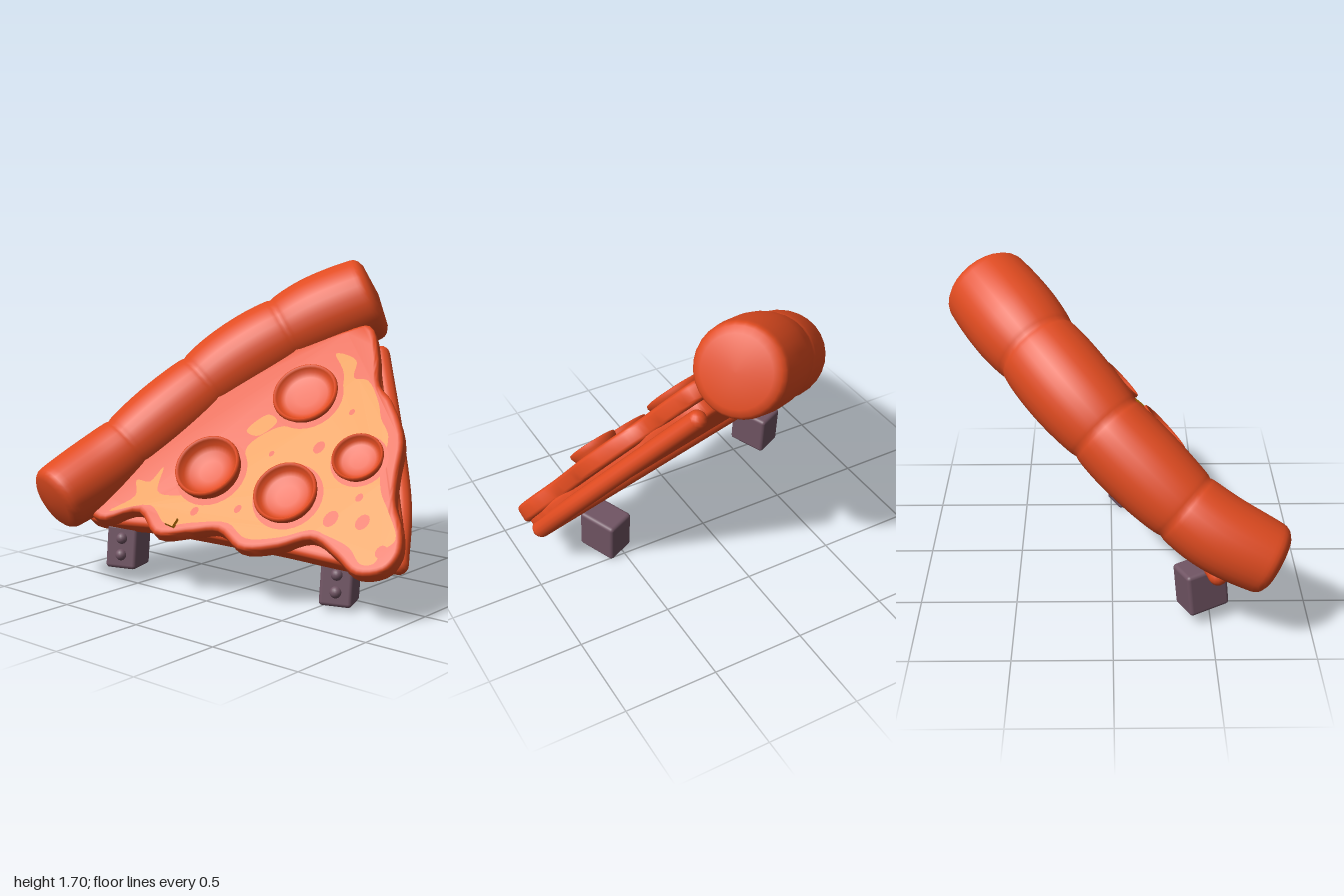
import * as THREE from 'three';
import { mergeVertices, toCreasedNormals } from 'three/addons/utils/BufferGeometryUtils.js';
import { RoundedBoxGeometry } from 'three/addons/geometries/RoundedBoxGeometry.js';

const material = (name, color) => {
  const m = new THREE.MeshStandardMaterial({ color });
  m.name = name;
  return m;
};

// The slice lies in a tilted plane: N is its normal, TOP the distance of its upper face.
const N = new THREE.Vector3(0.198, 0.647, 0.737).normalize();
const TOP = 0.615;
const onPlane = (x, y, d) => new THREE.Vector3(x, y, (d - N.x * x - N.y * y) / N.z);

// Lays a flat geometry drawn in (x, y) onto the tilted plane; its z becomes height along N.
function layOnPlane(geometry, d) {
  const p = geometry.attributes.position;
  for (let i = 0; i < p.count; i++) {
    const v = onPlane(p.getX(i), p.getY(i), d).addScaledVector(N, p.getZ(i));
    p.setXYZ(i, v.x, v.y, v.z);
  }
  geometry.computeVertexNormals();
  return geometry;
}

// Closed soft outline through a few points
function outline(points, divisions) {
  const curve = new THREE.CatmullRomCurve3(
    points.map(([x, y]) => new THREE.Vector3(x, y, 0)), true, 'centripetal');
  return new THREE.Shape(curve.getPoints(divisions).slice(0, -1).map(v => new THREE.Vector2(v.x, v.y)));
}

// Rounded plate reaching down from distance d
function slab(points, d, depth, bevel) {
  const geometry = new THREE.ExtrudeGeometry(outline(points, 110), {
    depth: depth - 2 * bevel, bevelEnabled: true, bevelThickness: bevel,
    bevelSize: bevel, bevelOffset: -bevel, bevelSegments: 4,
  });
  geometry.translate(0, 0, bevel - depth);
  return toCreasedNormals(layOnPlane(geometry, d), 0.8);
}

// Puffy crust: a tube whose rings are scaled into four bulges with rounded ends
function crustGeometry() {
  const curve = new THREE.CatmullRomCurve3([
    [-0.83, 0.44, 0.815], [-0.75, 0.61, 0.47], [-0.58, 0.87, 0.13],
    [-0.39, 1.11, -0.15], [-0.1, 1.34, -0.43], [0.22, 1.515, -0.675],
  ].map(p => new THREE.Vector3(...p)));
  const rings = 120, sides = 28;
  const geometry = new THREE.TubeGeometry(curve, rings, 1, sides, false);
  const p = geometry.attributes.position;
  const v = new THREE.Vector3();
  for (let i = 0; i <= rings; i++) {
    const t = i / rings;
    const centre = curve.getPointAt(t);
    const s = Math.min(1, Math.min(t, 1 - t) / 0.036);
    const cap = Math.pow(1 - Math.pow(1 - s, 2.8), 0.36);
    const bulge = 0.93 + 0.1 * Math.pow(Math.abs(Math.sin(Math.PI * 4 * t)), 0.55);
    const width = THREE.MathUtils.lerp(0.182, 0.235, Math.min(1, t * 1.2));
    for (let j = 0; j <= sides; j++) {
      const k = i * (sides + 1) + j;
      v.fromBufferAttribute(p, k).sub(centre).multiplyScalar(width * bulge * cap).add(centre);
      p.setXYZ(k, v.x, v.y, v.z);
    }
  }
  geometry.deleteAttribute('uv');
  geometry.deleteAttribute('normal');
  const merged = mergeVertices(geometry, 1e-5);
  merged.computeVertexNormals();
  return merged;
}

export function createModel() {
  const red = material('baked red', 0xe04b20);
  const yellow = material('cheese yellow', 0xe28a08);
  const purple = material('dusky purple', 0x705463);
  const model = new THREE.Group();
  model.name = 'pizzaSlice';

  const add = (name, geometry, mat, parent = model) => {
    const mesh = new THREE.Mesh(geometry, mat);
    mesh.name = name;
    parent.add(mesh);
    return mesh;
  };

  add('crust', crustGeometry(), red);

  // Dough base underneath
  add('doughBase', slab([
    [-0.78, 0.39], [-0.74, 0.35], [-0.3, 0.34], [0.3, 0.31], [0.88, 0.28], [0.96, 0.31],
    [0.93, 0.42], [0.83, 0.58], [0.7, 0.78], [0.52, 1.02], [0.37, 1.23], [0.29, 1.28],
    [-0.08, 1.17], [-0.38, 0.92], [-0.6, 0.63],
  ], 0.54, 0.11, 0.025), red);

  // Raised bars along the lower and outer edges of the underside
  const bars = [
    [[-0.78, 0.345], [0, 0.315], [0.92, 0.275]],
    [[0.92, 0.275], [0.82, 0.5], [0.66, 0.75], [0.34, 1.2]],
  ];
  for (const points of bars) {
    const path = new THREE.CatmullRomCurve3(points.map(([x, y]) => onPlane(x, y, 0.45)));
    add('undersideBar', new THREE.TubeGeometry(path, 24, 0.05, 14), red);
    for (const t of [0, 1]) add('barEnd', new THREE.SphereGeometry(0.05, 14, 10), red).position.copy(path.getPoint(t));
  }

  // Sauce layer with a wavy, dripping rim
  add('sauceLayer', slab([
    [-0.72, 0.43], [-0.6, 0.37], [-0.42, 0.425], [-0.26, 0.335], [-0.08, 0.36], [0.06, 0.38],
    [0.22, 0.315], [0.4, 0.34], [0.55, 0.39], [0.7, 0.335], [0.84, 0.27], [0.97, 0.3],
    [1.0, 0.37], [0.96, 0.47], [0.87, 0.58], [0.82, 0.7], [0.77, 0.85], [0.62, 1.02],
    [0.52, 1.09], [0.44, 1.23], [0.32, 1.37], [0.2, 1.34], [-0.2, 1.16], [-0.46, 0.88],
    [-0.65, 0.6],
  ], TOP, 0.1, 0.022), red);

  // Melted cheese: thin painted areas
  const cheese = [
    [[0.22, 1.22], [0.35, 1.19], [0.38, 1.11], [0.46, 1.1], [0.57, 1.0], [0.62, 0.93], [0.7, 0.85],
      [0.74, 0.7], [0.79, 0.61], [0.87, 0.53], [0.96, 0.42], [0.92, 0.37], [0.91, 0.32],
      [0.85, 0.31], [0.76, 0.37], [0.62, 0.41], [0.54, 0.425], [0.4, 0.38], [0.23, 0.36],
      [0.1, 0.415], [-0.08, 0.4], [-0.22, 0.38], [-0.36, 0.455], [-0.57, 0.41], [-0.47, 0.49],
      [-0.51, 0.56], [-0.43, 0.56], [-0.4, 0.63], [-0.36, 0.52], [-0.24, 0.51], [-0.05, 0.56],
      [0.02, 0.68], [0.0, 0.76], [0.11, 0.855], [0.25, 0.87], [0.36, 0.95], [0.32, 1.12]],
    [[-0.05, 0.83], [0.02, 0.91], [0.09, 0.88], [0.03, 0.81]],
  ];
  for (const points of cheese) {
    add('cheese', layOnPlane(new THREE.ShapeGeometry(outline(points, points.length * 5)), TOP + 0.004), yellow);
  }

  // Sauce spots showing through the cheese
  const spots = [[0.61, 0.48, 0.035], [0.77, 0.48, 0.033], [0.38, 0.78, 0.028], [0.15, 0.735, 0.013],
    [0.5, 0.75, 0.016], [0.92, 0.37, 0.026], [0.12, 0.48, 0.018], [0.46, 0.95, 0.014],
    [-0.1, 0.45, 0.02], [0.7, 0.58, 0.018]];
  for (const [x, y, r] of spots) {
    const spot = new THREE.CircleGeometry(r, 14);
    spot.translate(x, y, 0);
    add('sauceSpot', layOnPlane(spot, TOP + 0.008), red);
  }

  // Deep cupped toppings, each with a ring of sauce around it: x, y, plane distance, radius
  const facing = new THREE.Quaternion().setFromUnitVectors(new THREE.Vector3(0, 1, 0), N);
  const toppings = [[0.19, 1.025, 0.65, 0.178], [-0.11, 0.665, 0.676, 0.178],
    [0.35, 0.58, 0.66, 0.168], [0.62, 0.755, 0.65, 0.135]];
  for (const [x, y, d, r] of toppings) {
    const topping = new THREE.Group();
    topping.name = 'topping';
    topping.position.copy(onPlane(x, y, d));
    topping.quaternion.copy(facing);
    model.add(topping);
    const floor = TOP - d + 0.012;
    const profile = [[0.86, floor - 0.02], [0.95, floor + 0.01], [1, 0.005], [0.98, 0.018], [0.93, 0.02], [0.88, 0.01],
      [0.8, floor * 0.45], [0.64, floor * 0.8], [0.35, floor], [0, floor]];
    add('toppingCup', new THREE.LatheGeometry(
      profile.map(([px, py]) => new THREE.Vector2(px * r, py)), 36), red, topping);
    const halo = add('sauceRing', new THREE.CircleGeometry(r * 1.12, 30).rotateX(-Math.PI / 2), red, topping);
    halo.position.y = TOP - d + 0.008;
  }

  // Stray cheese crumb on the rim
  const crumb = add('cheeseCrumb', new THREE.BoxGeometry(0.055, 0.03, 0.05), yellow);
  crumb.position.copy(onPlane(-0.19, 0.395, TOP + 0.01));
  crumb.quaternion.copy(facing);

  // Turned block feet with two round studs on the front
  for (const [x, y, z] of [[-0.617, 0.187, 0.45], [0.558, 0.127, 0.105]]) {
    const foot = new THREE.Group();
    foot.name = 'foot';
    foot.position.set(x, y, z);
    foot.rotation.set(-0.1, 0.44, 0);
    model.add(foot);
    add('footBlock', new RoundedBoxGeometry(0.17, 0.235, 0.225, 3, 0.02), purple, foot);
    for (const sy of [0.047, -0.042]) {
      add('stud', new THREE.SphereGeometry(0.031, 16, 12), purple, foot).position.set(0, sy, 0.108);
    }
  }

  return model;
}
